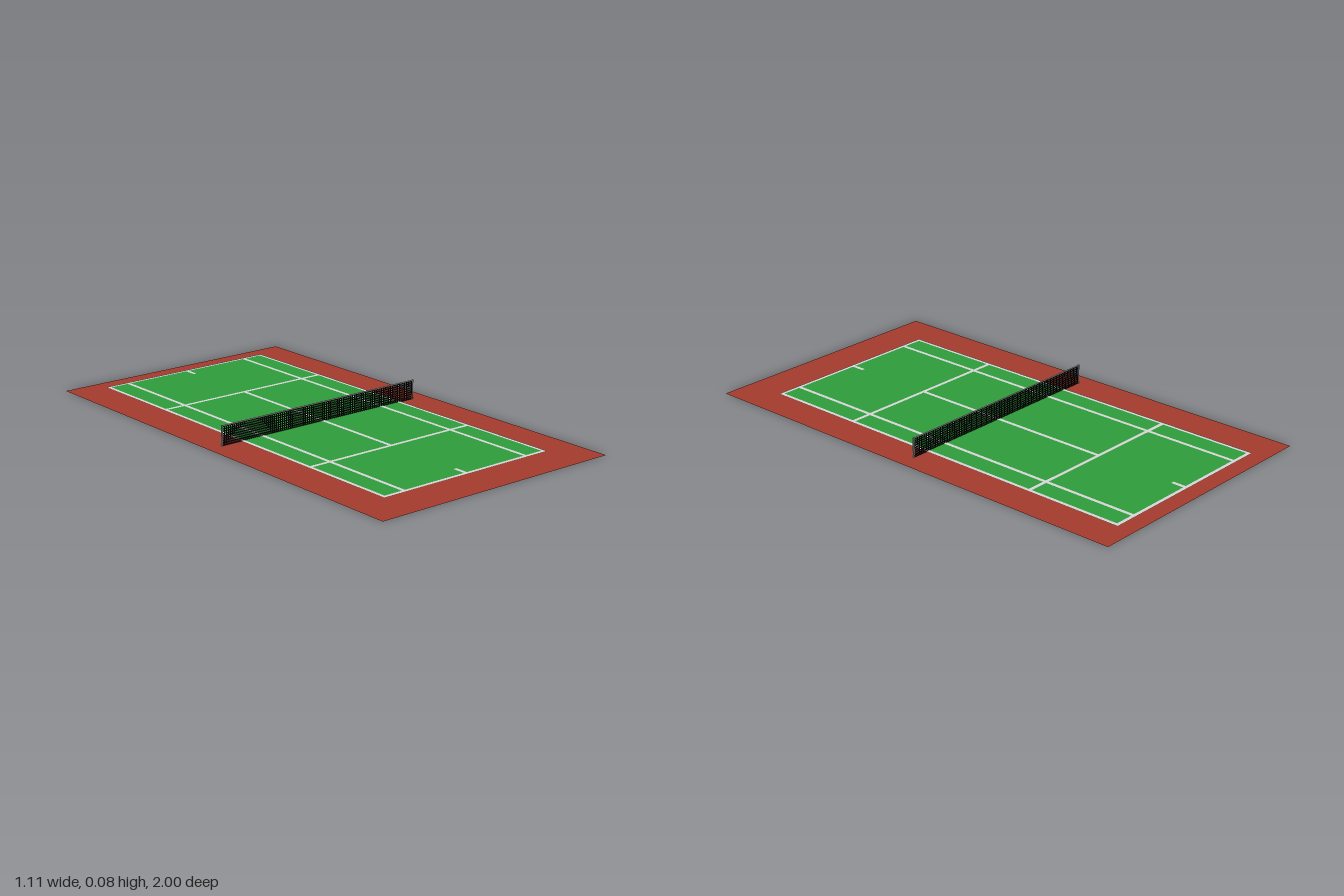
import * as THREE from 'three';

const material = (name, color) => {
  const m = new THREE.MeshStandardMaterial({ color, side: THREE.DoubleSide });
  m.name = name;
  return m;
};

export function createModel() {
  const red = material('clay red', 0xa43b2d);
  const green = material('court green', 0x2f9e3c);
  const white = material('line white', 0xd8d8d8);
  const black = material('net black', 0x0a0a0a);
  const grey = material('post grey', 0x9aa3a6);

  const model = new THREE.Group();
  model.name = 'tennisCourt';

  // Flat rectangle lying on the ground, given by its bounds
  const flat = (parent, name, mat, x0, x1, z0, z1, y) => {
    const geo = new THREE.PlaneGeometry(x1 - x0, z1 - z0).rotateX(-Math.PI / 2);
    const mesh = new THREE.Mesh(geo, mat);
    mesh.position.set((x0 + x1) / 2, y, (z0 + z1) / 2);
    mesh.name = name;
    parent.add(mesh);
  };
  const box = (parent, name, mat, w, h, d, x, y, z = 0) => {
    const mesh = new THREE.Mesh(new THREE.BoxGeometry(w, h, d), mat);
    mesh.position.set(x, y, z);
    mesh.name = name;
    parent.add(mesh);
  };

  // Ground and playing surface
  const left = -0.392, right = 0.407, back = -0.923, front = 0.823;
  flat(model, 'surround', red, -0.555, 0.555, -1, 1, 0);
  flat(model, 'playingSurface', green, left, right, back, front, 0.0015);

  // Painted lines
  const lines = new THREE.Group();
  lines.name = 'courtLines';
  model.add(lines);
  const half = 0.0075, lineY = 0.003;
  const lengthwise = (name, x, z0, z1) => flat(lines, name, white, x - half, x + half, z0, z1, lineY);
  const crosswise = (name, z) => flat(lines, name, white, left - half, right + half, z - half, z + half, lineY);
  for (const x of [left, right]) lengthwise('doublesSideline', x, back, front);
  for (const x of [-0.296, 0.312]) lengthwise('singlesSideline', x, back, front);
  for (const z of [back, front]) crosswise('baseline', z);
  for (const z of [-0.512, 0.409]) crosswise('serviceLine', z);
  lengthwise('centreServiceLine', 0.006, -0.512, 0.409);
  lengthwise('backCentreMark', 0.006, back, -0.86);
  lengthwise('frontCentreMark', 0.006, 0.76, front);

  // Net: posts, top band and a woven mesh of thin strands
  const net = new THREE.Group();
  net.name = 'net';
  net.position.x = -0.003;
  model.add(net);
  const span = 0.968, height = 0.078, columns = 100, rows = 8;
  for (const side of [-1, 1]) box(net, 'netPost', grey, 0.006, 0.083, 0.005, side * 0.485, 0.0415);
  box(net, 'topBand', white, span, 0.004, 0.002, 0, 0.08);
  for (let i = 0; i <= columns; i++) {
    box(net, 'verticalStrand', black, 0.004, height, 0.002, (i / columns - 0.5) * (span - 0.004), height / 2);
  }
  for (let i = 0; i <= rows; i++) {
    box(net, 'horizontalStrand', black, span, 0.004, 0.0016, 0, 0.002 + (i / rows) * (height - 0.004));
  }
  return model;
}
